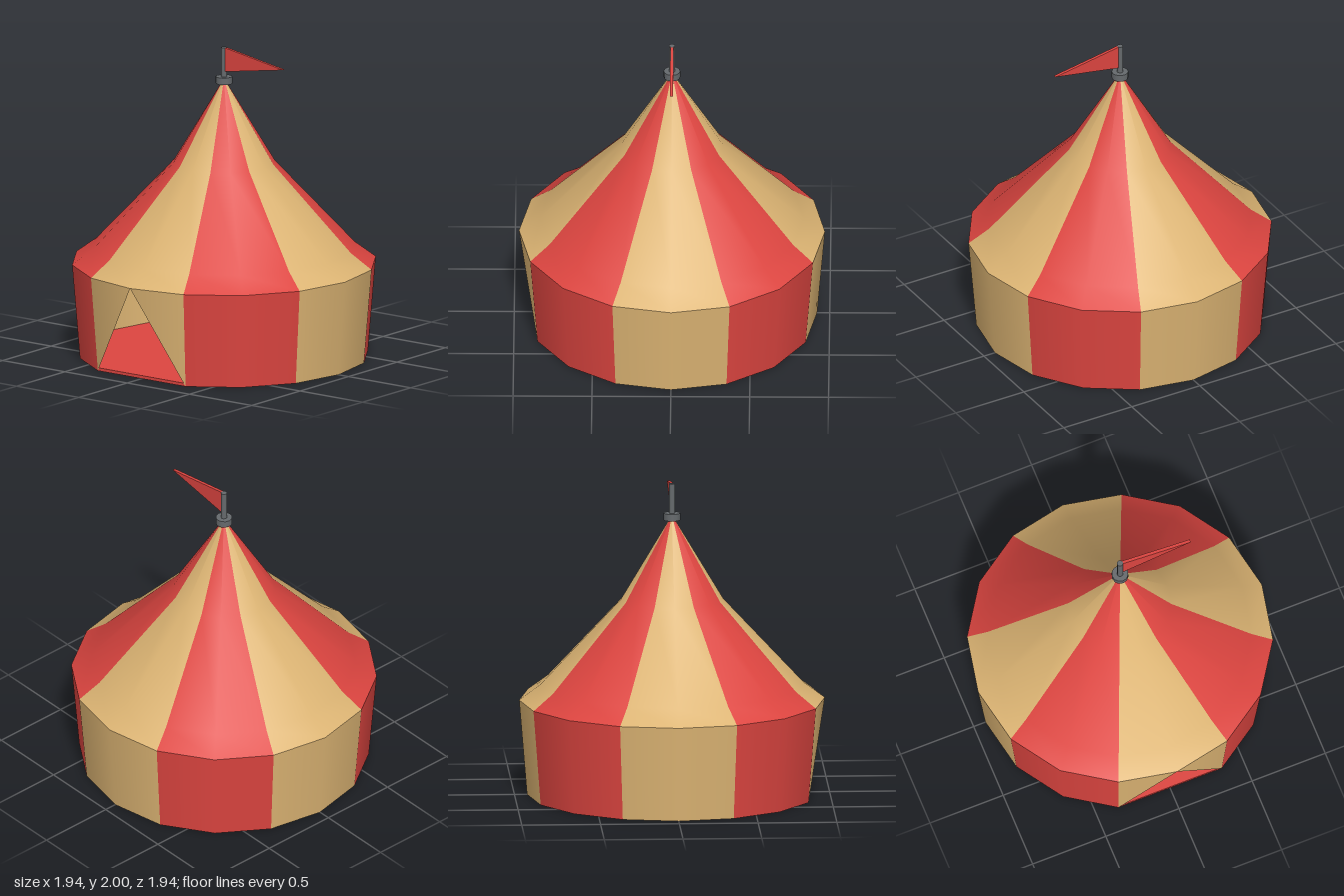
import * as THREE from 'three';

const SIDES = 16;
const EAVE = 0.61;
const BASE_R = 0.92;
const EAVE_R = 0.97;

const makeMaterial = (name, color, side = THREE.FrontSide) => {
  const m = new THREE.MeshStandardMaterial({ color, side });
  m.name = name;
  return m;
};

// Lathed cloth whose stripes are two segments wide, sand centred on the front
function stripedCloth(profile) {
  const points = profile.map(([r, y]) => new THREE.Vector2(r, y));
  const geo = new THREE.LatheGeometry(points, SIDES);
  const perSide = (profile.length - 1) * 6;
  for (let i = 0; i < SIDES; i++) {
    geo.addGroup(i * perSide, perSide, Math.floor((i + 1) / 2) % 2);
  }
  return geo;
}

export function createModel() {
  const tent = new THREE.Group();
  tent.name = 'circusTent';

  const sand = makeMaterial('sandCloth', 0xdcb473, THREE.DoubleSide);
  const red = makeMaterial('redCloth', 0xdd4540, THREE.DoubleSide);
  const metal = makeMaterial('greyMetal', 0x666a6d);

  const add = (name, geometry, material, y = 0) => {
    const mesh = new THREE.Mesh(geometry, material);
    mesh.name = name;
    mesh.position.y = y;
    tent.add(mesh);
    return mesh;
  };

  // Roof with a flared eave and a swept peak
  add('roof', stripedCloth([[EAVE_R, EAVE], [0.835, 0.71], [0.325, 1.255], [0.005, 1.79]]), [sand, red]);

  // Wall: the two front segments keep only their upper triangle, leaving a pointed doorway
  const wall = stripedCloth([[BASE_R, 0], [EAVE_R, EAVE]]);
  const index = Array.from(wall.index.array);
  const a = (SIDES - 1) * 2; // lower corner at the start of the last segment
  index.splice((SIDES - 1) * 6, 6, a, a + 3, a + 1);
  wall.setIndex(index);
  Object.assign(wall.groups[0], { start: 3, count: 3 });
  wall.groups[SIDES - 1].count = 3;
  add('wall', wall, [sand, red]);

  // Floor slab, cut straight across the doorway
  const corners = [];
  for (let i = 1; i < SIDES; i++) {
    const t = (i / SIDES) * Math.PI * 2;
    corners.push(new THREE.Vector2(Math.sin(t), -Math.cos(t)).multiplyScalar(BASE_R - 0.001));
  }
  const floor = new THREE.ExtrudeGeometry(new THREE.Shape(corners), { depth: 0.02, bevelEnabled: false });
  floor.rotateX(-Math.PI / 2);
  add('floor', floor, red);

  // Collar and flagpole on the peak
  add('poleCollar', new THREE.CylinderGeometry(0.053, 0.053, 0.045, 12), metal, 1.788);
  add('flagpole', new THREE.CylinderGeometry(0.02, 0.02, 0.22, 10), metal, 1.89);

  // Pennant flying to the tent's left
  const pennant = new THREE.Shape([
    new THREE.Vector2(0.015, 1.845),
    new THREE.Vector2(0.48, 1.923),
    new THREE.Vector2(0.015, 2),
  ]);
  const flag = new THREE.ExtrudeGeometry(pennant, { depth: 0.02, bevelEnabled: false });
  flag.translate(0, 0, -0.01);
  add('pennant', flag, red);

  return tent;
}
